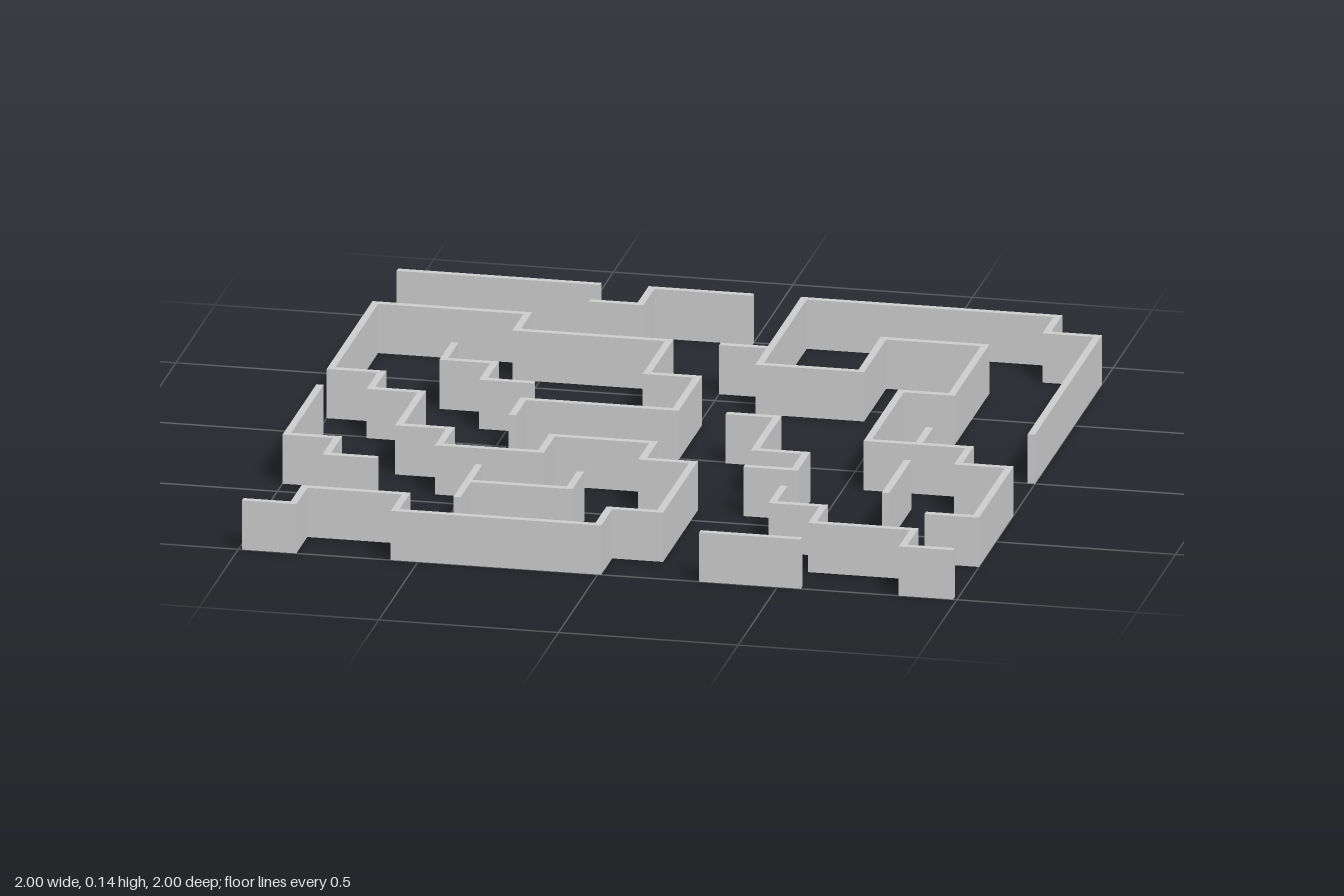
import * as THREE from 'three';

// Grid of 14 cells; walls are a seventh of a cell thick and one cell high
const CELL = 14 / 99;
const HALF = CELL / 14;
const HEIGHT = CELL;
const TOUCH = 1 / 14; // wall half thickness in cells, where a branch meets a wall

// Each wall is a path of grid corners [column, row], counted from the back left
const WALLS = {
  backWall: [[0, 0], [4, 0]],
  backStepWall: [[4, 1], [5, 1], [5, 0], [7, 0]],
  rightWindingWall: [[14, 7], [14, 1], [13, 1], [13, 0], [8, 0], [8, 4], [10, 4], [10, 2], [12, 2],
    [12, 5], [11, 5], [11, 8], [13, 8], [13, 9], [14, 9], [14, 12], [13, 12]],
  backBranchWall: [[7, 3], [8 - TOUCH, 3]],
  rightBranchWall: [[12, 7], [12, 8 - TOUCH]],
  rightShortWall: [[12, 9], [12, 11]],
  leftWindingWall: [[4, 8], [4, 7], [7, 7], [7, 5], [6, 5], [6, 3], [3, 3], [3, 2], [0, 2], [0, 6],
    [1, 6], [1, 7], [2, 7], [2, 9], [3, 9], [3, 10], [5, 10], [5, 9], [7, 9], [7, 10], [8, 10],
    [8, 13], [7, 13], [7, 14], [3, 14], [3, 13], [1, 13], [1, 14], [0, 14]],
  innerStepWall: [[2, 4], [2, 5], [3, 5], [3, 6], [4, 6]],
  sideStepWall: [[0, 7], [0, 10], [1, 10], [1, 11], [2, 11]],
  frontInnerWall: [[4, 11], [4, 13]],
  frontInnerBranch: [[4 + TOUCH, 12], [6, 12], [6, 11]],
  centreStepWall: [[8, 7], [9, 7], [9, 9], [10, 9], [10, 10], [9, 10]],
  frontStepWall: [[10, 11], [10, 12], [11, 12], [11, 13], [13, 13], [13, 14], [14, 14]],
  frontShortWall: [[9, 14], [11, 14]],
};

// Thickens a right-angled path into a mitred outline and extrudes it upward
function wallGeometry(path) {
  const pts = path.map(([c, r]) => new THREE.Vector2((c - 7) * CELL, (7 - r) * CELL));
  const normals = pts.slice(1).map((p, i) => {
    const d = p.clone().sub(pts[i]).normalize();
    return new THREE.Vector2(-d.y, d.x);
  });
  const side = (sign) => pts.map((p, i) => {
    const offset = new THREE.Vector2();
    if (i > 0) offset.add(normals[i - 1]);
    if (i < normals.length) offset.add(normals[i]);
    return p.clone().addScaledVector(offset, sign * HALF);
  });
  const outline = new THREE.Shape([...side(1), ...side(-1).reverse()]);
  const geometry = new THREE.ExtrudeGeometry(outline, { depth: HEIGHT, bevelEnabled: false });
  return geometry.rotateX(-Math.PI / 2);
}

export function createModel() {
  const model = new THREE.Group();
  model.name = 'maze';
  const material = new THREE.MeshStandardMaterial({ color: 0xcccccc });
  for (const [name, path] of Object.entries(WALLS)) {
    const wall = new THREE.Mesh(wallGeometry(path), material);
    wall.name = name;
    model.add(wall);
  }
  return model;
}
